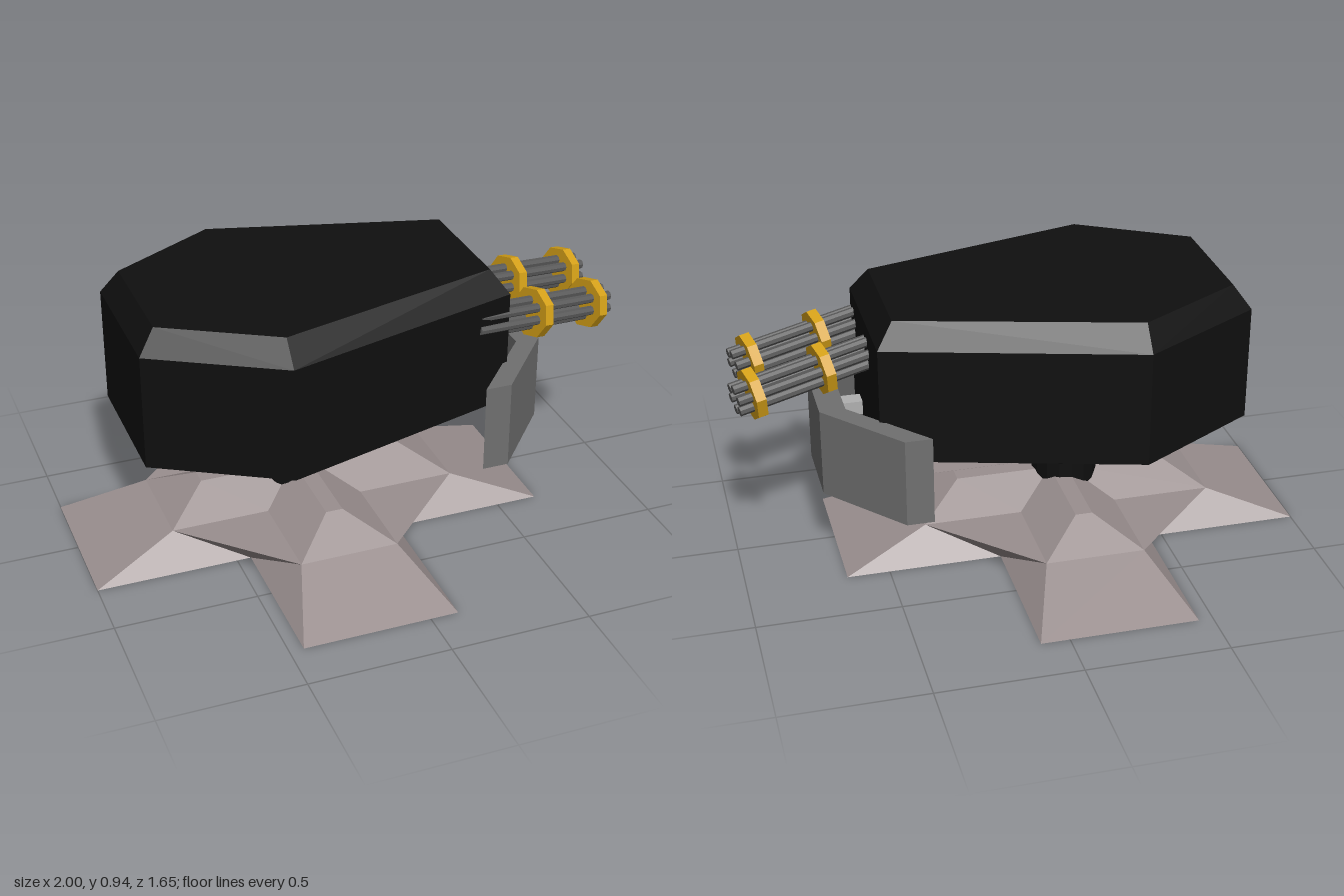
import * as THREE from 'three';
import { ConvexGeometry } from 'three/addons/geometries/ConvexGeometry.js';

const mat = (color) => new THREE.MeshStandardMaterial({ color, flatShading: true });
const STONE = mat(0x9a8f8f), BLACK = mat(0x0f0f0f), STEEL = mat(0x707070);
const GUNMETAL = mat(0x5a5a5a), GOLD = mat(0xd4a017), LIGHT = mat(0xb0b0b0);

function add(parent, name, geometry, material, x = 0, y = 0, z = 0) {
  const mesh = new THREE.Mesh(geometry, material);
  mesh.name = name;
  mesh.position.set(x, y, z);
  parent.add(mesh);
  return mesh;
}

// Four-armed foot: one arm and one inner corner, turned four times
function footGeometry() {
  const pos = [];
  const T = [0.275, 0, 0.825], N = [0.275, 0, 0.275], O = [0.175, 0.11, 0.525];
  const P = [0.03, 0.195, 0.375], Q = [0.03, 0.195, 0.03], V = [0.175, 0.11, 0.175];
  const C = [0, 0.195, 0], B = [0, 0, 0];
  const flip = ([x, y, z]) => [-x, y, z];
  const swap = ([x, y, z]) => [z, y, x];
  const faces = [
    [flip(T), T, O, flip(O)], [flip(O), O, P, flip(P)], [flip(P), P, Q, flip(Q)], // arm tip and ridge
    [T, N, O], [N, swap(T), swap(O)], [N, swap(O), O], // skirts
    [V, O, swap(O)], [P, O, V, Q], [Q, V, swap(O), swap(P)], // valley
    [flip(Q), Q, C], [flip(N), N, T, flip(T)], [N, flip(N), B], // crown and underside
  ];
  for (let k = 0; k < 4; k++) {
    const turn = ([x, y, z]) => {
      for (let i = 0; i < k; i++) [x, z] = [z, -x];
      return [x, y, z];
    };
    for (const f of faces) {
      const p = f.map(turn);
      for (let i = 1; i < p.length - 1; i++) pos.push(...p[0], ...p[i], ...p[i + 1]);
    }
  }
  // crown triangles face up
  const g = new THREE.BufferGeometry();
  g.setAttribute('position', new THREE.Float32BufferAttribute(pos, 3));
  g.computeVertexNormals();
  return g;
}

// Six-sided housing with bevelled top and bottom
function housingGeometry() {
  const levels = [
    [0.36, [-0.655, 0.165], [-0.36, 0.365], [0.37, 0.16]],
    [0.44, [-0.8, 0.255], [-0.36, 0.51], [0.515, 0.265]],
    [0.855, [-0.8, 0.255], [-0.36, 0.51], [0.515, 0.265]],
    [0.94, [-0.74, 0.22], [-0.36, 0.44], [0.455, 0.22]],
  ];
  const pts = [];
  for (const [y, ...ring] of levels)
    for (const [x, z] of ring)
      for (const s of [-1, 1]) pts.push(new THREE.Vector3(x, y, s * z));
  return new ConvexGeometry(pts);
}

// Bent three-panel plate
function shieldGeometry() {
  const outer = [[0.46, 0.42], [0.7, 0.14], [0.7, -0.14], [0.46, -0.42]];
  const inner = [[0.365, -0.42], [0.61, -0.14], [0.61, 0.14], [0.365, 0.42]];
  const shape = new THREE.Shape([...outer, ...inner].map(([x, z]) => new THREE.Vector2(x, z)));
  const g = new THREE.ExtrudeGeometry(shape, { depth: 0.32, bevelEnabled: false });
  return g.rotateX(-Math.PI / 2);
}

// Six-barrel cluster with two octagonal collars, built along +y
function gun() {
  const g = new THREE.Group();
  g.name = 'gun';
  const barrel = new THREE.CylinderGeometry(0.017, 0.017, 0.6, 8);
  const collar = new THREE.CylinderGeometry(0.092, 0.092, 0.035, 8);
  collar.rotateY(Math.PI / 8);
  for (let i = 0; i < 6; i++) {
    const a = (i / 6) * Math.PI * 2;
    add(g, 'barrel', barrel, GUNMETAL, Math.cos(a) * 0.044, 0.02, Math.sin(a) * 0.044);
  }
  for (const y of [0, 0.254]) add(g, 'collar', collar, GOLD, 0, y, 0);
  return g;
}

export function createModel() {
  const model = new THREE.Group();
  model.name = 'turret';

  add(model, 'foot', footGeometry(), STONE, -0.175, 0, 0);
  add(model, 'pedestal', new THREE.CylinderGeometry(0.12, 0.12, 0.28, 16), BLACK, -0.205, 0.26, 0);
  add(model, 'housing', housingGeometry(), BLACK);
  add(model, 'gunMount', new THREE.BoxGeometry(0.1, 0.06, 0.07), BLACK, 0.485, 0.7, 0);

  add(model, 'shield', shieldGeometry(), STEEL, 0, 0.27, 0);
  for (const s of [-1, 1])
    add(model, 'shieldStrut', new THREE.BoxGeometry(0.22, 0.05, 0.06), LIGHT, 0.52, 0.47, s * 0.11);

  // Twin guns, slightly lowered and swung to one side
  const aim = new THREE.Vector3(0.245, -0.035, -0.06).normalize();
  for (const [x, z] of [[0.675, -0.08], [0.65, 0.187]]) {
    const g = gun();
    g.position.set(x, 0.725, z);
    g.quaternion.setFromUnitVectors(new THREE.Vector3(0, 1, 0), aim);
    model.add(g);
  }
  return model;
}
